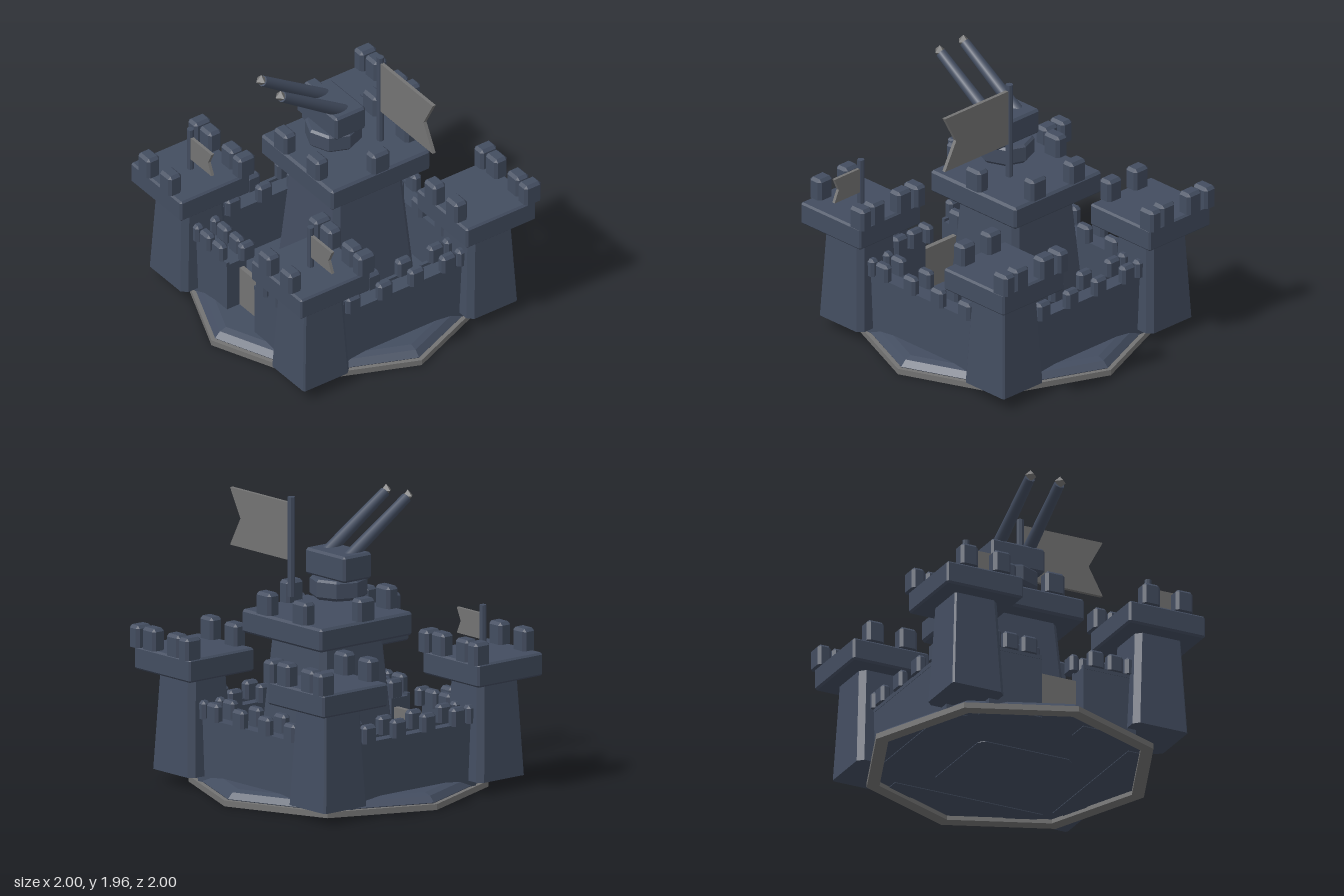
import * as THREE from 'three';
import { ConvexGeometry } from 'three/addons/geometries/ConvexGeometry.js';

const stone = new THREE.MeshStandardMaterial({ color: 0x434d60 });
stone.name = 'slate blue stone';
const grey = new THREE.MeshStandardMaterial({ color: 0x737373 });
grey.name = 'plain grey';

function flat(geo) {
  const g = geo.index ? geo.toNonIndexed() : geo;
  g.computeVertexNormals();
  return g;
}

function add(parent, name, geo, material, x = 0, y = 0, z = 0) {
  const mesh = new THREE.Mesh(geo, material);
  mesh.name = name;
  mesh.position.set(x, y, z);
  parent.add(mesh);
  return mesh;
}

// Box standing on y = 0 with chamfered edges; base is the chamfer of the bottom edges
function chamferBox(w, h, d, c, base = c) {
  const pts = [];
  for (const i of [-1, 1]) for (const k of [-1, 1]) {
    const x = i * w / 2, z = k * d / 2;
    for (const [y, inner] of [[0, base], [h, -c]]) {
      pts.push(new THREE.Vector3(x, y + inner, z - k * c),
        new THREE.Vector3(x - i * c, y + inner, z));
      if (inner) pts.push(new THREE.Vector3(x - i * c, y, z - k * c));
    }
  }
  return new ConvexGeometry(pts);
}

// Flat-footed battlement block
const merlon = (w, h, d) => chamferBox(w, h, d, 0.02, 0);

// Tapered square shaft with cut corners; outer = [sx, sz] is cut only slightly
function shaftGeo(y0, r0, y1, r1, outer = [0, 0]) {
  const pts = [];
  for (const [y, r] of [[y0, r0], [y1, r1]])
    for (const i of [-1, 1]) for (const k of [-1, 1]) {
      const cut = outer[0] === i && outer[1] === k ? 0.012 : 0.038;
      pts.push(new THREE.Vector3(i * (r - cut), y, k * r),
        new THREE.Vector3(i * r, y, k * (r - cut)));
    }
  return new ConvexGeometry(pts);
}

// Swallow-tailed flag on a pole, origin at the foot of the pole
function flagOnPole(name, height, radius, y0, y1, length, notch, thick) {
  const g = new THREE.Group();
  g.name = name;
  add(g, 'flagPole', flat(new THREE.CylinderGeometry(radius, radius, height, 8)), stone, 0, height / 2, 0);
  const s = new THREE.Shape();
  s.moveTo(0, y0);
  s.lineTo(length, y0);
  s.lineTo(length - notch, (y0 + y1) / 2);
  s.lineTo(length, y1);
  s.lineTo(0, y1);
  const cloth = new THREE.ExtrudeGeometry(s, { depth: thick, bevelEnabled: false });
  add(g, 'flag', cloth.translate(0, 0, -thick / 2), grey, radius * 0.8, 0, 0);
  return g;
}

const lathe = (pts) => flat(new THREE.LatheGeometry(pts.map(p => new THREE.Vector2(...p)), 8));

function cornerTower(sx, sz) {
  const g = new THREE.Group();
  g.name = 'cornerTower';
  add(g, 'towerShaft', shaftGeo(0.083, 0.198, 0.78, 0.163, [sx, sz]), stone);
  add(g, 'towerPlatform', chamferBox(0.57, 0.158, 0.57, 0.013), stone, 0, 0.762, 0);
  const wide = merlon(0.13, 0.15, 0.105);
  const deep = merlon(0.1, 0.15, 0.135);
  for (const i of [-1, 1]) {
    for (const k of [-1, 1]) add(g, 'towerMerlon', wide, stone, i * 0.122, 0.92, k * 0.252);
    add(g, 'towerCornerMerlon', deep, stone, i * 0.25, 0.92, -0.255);
  }
  g.position.set(sx * 0.68, 0, sz * 0.68);
  return g;
}

// Wall along x with a double row of merlons; local z = 0 is the wall's middle
function wall(name, x0, x1, merlonXs) {
  const g = new THREE.Group();
  g.name = name;
  const mid = (x0 + x1) / 2, len = x1 - x0;
  add(g, 'wallBody', new THREE.BoxGeometry(len, 0.435, 0.16), stone, mid, 0.2425, 0);
  const block = merlon(0.117, 0.122, 0.072);
  for (const k of [-1, 1]) {
    add(g, 'parapet', new THREE.BoxGeometry(len, 0.03, 0.025), stone, mid, 0.465, k * 0.07);
    for (const x of merlonXs) add(g, 'wallMerlon', block, stone, x, 0.475, k * 0.07);
  }
  return g;
}

export function createModel() {
  const model = new THREE.Group();
  model.name = 'fortress';

  // Eight-sided ground plate with a grey rim and a hollow underside
  add(model, 'baseRim', lathe([[0.91, 0.04], [0.91, 0], [1, 0], [1, 0.04], [0.91, 0.04]]), grey);
  add(model, 'baseMound', lathe([[0, 0.03], [0.96, 0.03], [0.97, 0.045], [0.93, 0.085], [0.88, 0.1], [0, 0.1]]), stone);

  // Corner towers, flags on the front pair
  for (const sx of [-1, 1]) {
    for (const sz of [-1, 1]) model.add(cornerTower(sx, sz));
    const f = flagOnPole('towerFlag', 0.32, 0.024, 0.085, 0.26, 0.235, 0.04, 0.022);
    f.position.set(sx * 0.68, 0.92, 0.68);
    model.add(f);
  }

  // Back and side walls
  const spots = [-0.52, -0.39, -0.13, 0.13, 0.39, 0.52];
  [['rightWall', -Math.PI / 2], ['backWall', Math.PI], ['leftWall', Math.PI / 2]].forEach(([name, turn]) => {
    const w = wall(name, -0.55, 0.55, spots);
    w.position.set(Math.sin(turn) * 0.68, 0, Math.cos(turn) * 0.68);
    w.rotation.y = turn;
    model.add(w);
  });

  // Front wall in two halves with the gate between
  const endMerlon = merlon(0.07, 0.122, 0.115);
  for (const s of [-1, 1]) {
    const w = wall('frontWall', s < 0 ? -0.55 : 0.155, s < 0 ? -0.155 : 0.55, [s * 0.25, s * 0.39, s * 0.52]);
    w.position.z = 0.68;
    add(w, 'gateMerlon', endMerlon, stone, s * 0.145, 0.475, -0.07);
    model.add(w);
  }
  add(model, 'gate', new THREE.BoxGeometry(0.32, 0.32, 0.035), grey, 0, 0.24, 0.64);

  // Central keep
  const keep = new THREE.Group();
  keep.name = 'keep';
  keep.position.z = -0.1;
  add(keep, 'keepShaft', shaftGeo(0.025, 0.35, 1.06, 0.272), stone);
  add(keep, 'keepPlatform', chamferBox(0.81, 0.16, 0.81, 0.016), stone, 0, 1.04, 0);
  const wide = merlon(0.145, 0.15, 0.1);
  const deep = merlon(0.1, 0.15, 0.145);
  for (const i of [-1, 1]) {
    for (const k of [-1, 1]) add(keep, 'keepMerlon', wide, stone, i * 0.182, 1.2, k * 0.365);
    add(keep, 'keepSideMerlon', deep, stone, i * 0.365, 1.2, 0);
  }
  model.add(keep);
  const bigFlag = flagOnPole('keepFlag', 0.68, 0.025, 0.247, 0.639, 0.59, 0.105, 0.025);
  bigFlag.position.set(0.2, 1.28, -0.24);
  model.add(bigFlag);

  // Gun turret
  const turret = new THREE.Group();
  turret.name = 'turret';
  add(turret, 'turretRing', lathe([[0, 1.282], [0.17, 1.282], [0.192, 1.304], [0.192, 1.405], [0.175, 1.42], [0, 1.42]]), stone);
  add(turret, 'turretHousing', chamferBox(0.4, 0.18, 0.25, 0.016), stone, 0, 1.418, 0);
  const from = new THREE.Vector3(0, 1.56, -0.01), to = new THREE.Vector3(0, 1.895, 0.5);
  const dir = to.clone().sub(from);
  const barrelGeo = new THREE.CylinderGeometry(0.036, 0.045, dir.length(), 16);
  const aim = new THREE.Quaternion().setFromUnitVectors(new THREE.Vector3(0, 1, 0), dir.clone().normalize());
  for (const s of [-1, 1]) {
    const barrel = add(turret, 'gunBarrel', barrelGeo, stone, s * 0.11, (from.y + to.y) / 2, (from.z + to.z) / 2);
    barrel.quaternion.copy(aim);
    add(turret, 'muzzle', flat(new THREE.OctahedronGeometry(0.042)), grey, s * 0.11, 1.907, 0.512);
  }
  model.add(turret);
  return model;
}
